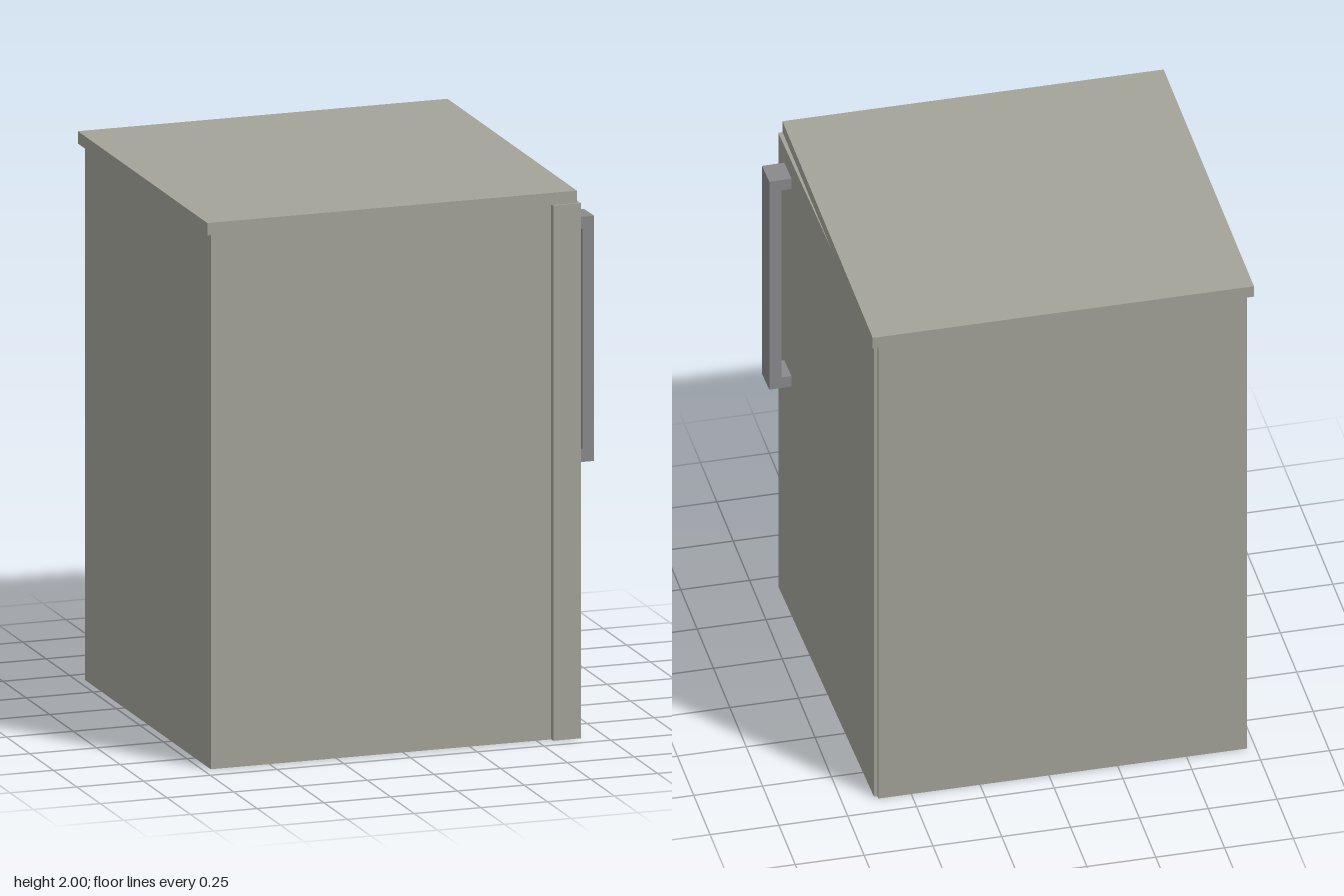
import * as THREE from 'three';

const enamel = new THREE.MeshStandardMaterial({ color: 0xa4a399 });
const metal = new THREE.MeshStandardMaterial({ color: 0x8a8a8c });

// Box given by its minimum and maximum corners
function box(name, min, max, material) {
  const size = max.map((v, i) => v - min[i]);
  const mesh = new THREE.Mesh(new THREE.BoxGeometry(...size), material);
  mesh.position.set(...min.map((v, i) => (v + max[i]) / 2));
  mesh.name = name;
  return mesh;
}

export function createModel() {
  const model = new THREE.Group();
  model.name = 'miniFridge';

  // Cabinet and overhanging worktop
  model.add(box('cabinet', [-0.72, 0, -0.67], [0.62, 1.955, 0.67], enamel));
  model.add(box('worktop', [-0.74, 1.955, -0.69], [0.645, 2, 0.69], enamel));

  // Door hung at the rear edge of the left side, standing slightly ajar
  const door = new THREE.Group();
  door.name = 'door';
  door.position.set(0.632, 0, -0.655);
  door.rotation.y = 0.0208;
  door.add(box('doorPanel', [-0.104, 0, 0], [0, 1.953, 1.345], enamel));

  // Bracket-shaped handle: two short arms joined by an upright bar
  const profile = new THREE.Shape([
    [-0.01, 0.985], [0.081, 0.985], [0.081, 1.88], [-0.01, 1.88],
    [-0.01, 1.835], [0.037, 1.835], [0.037, 1.03], [-0.01, 1.03],
  ].map(([x, y]) => new THREE.Vector2(x, y)));
  const handle = new THREE.Mesh(
    new THREE.ExtrudeGeometry(profile, { depth: 0.102, bevelEnabled: false }), metal);
  handle.name = 'handle';
  handle.position.z = 1.16;
  door.add(handle);

  model.add(door);
  return model;
}
